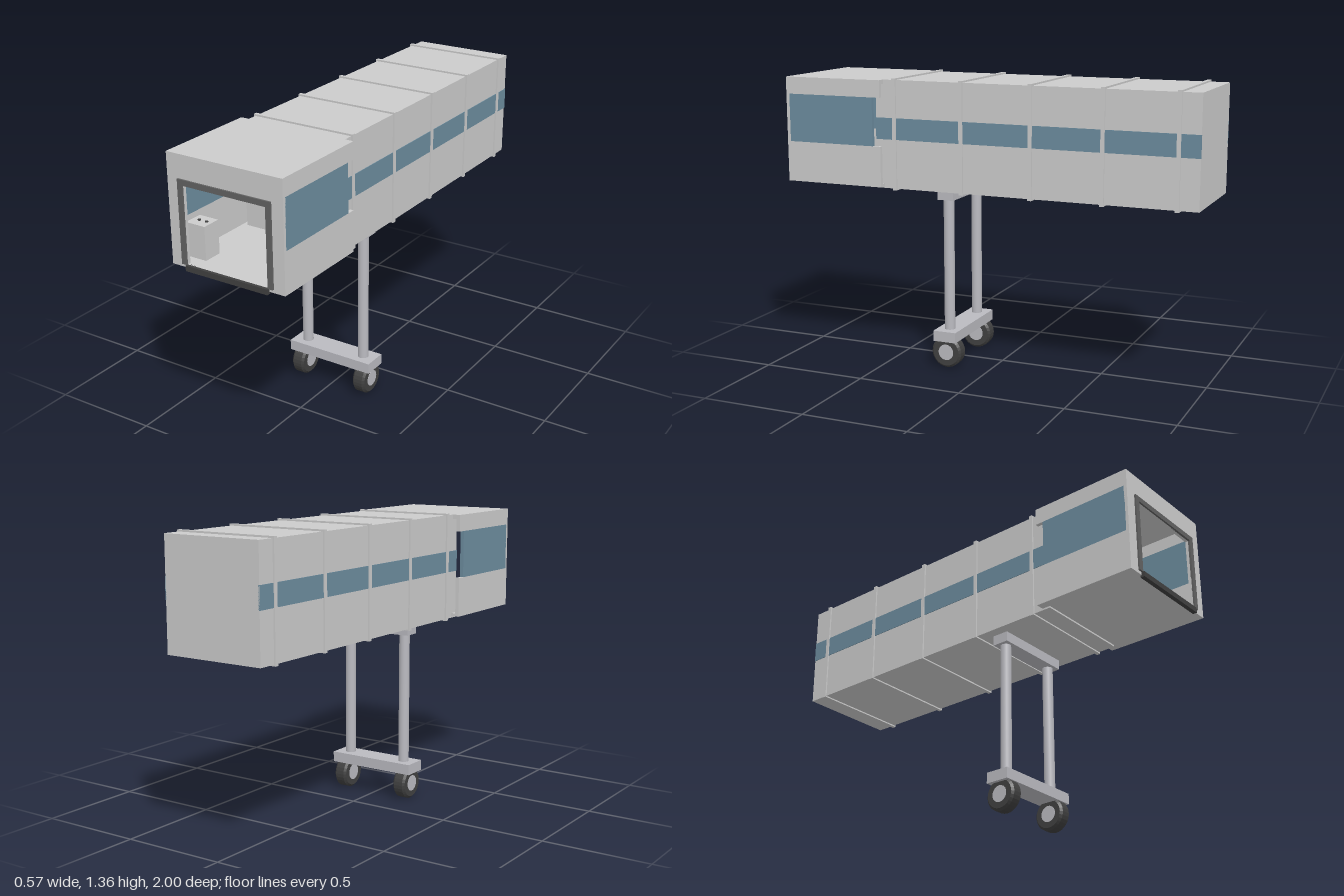
import * as THREE from 'three';

const material = (color) => new THREE.MeshStandardMaterial({ color });

export function createModel() {
  const model = new THREE.Group();
  const grey = material(0xcccccc);
  const glass = material(0x6c8c9e);
  const frameDark = material(0x626262);
  const rubber = material(0x404040);
  const steel = material(0xbabac0);

  const add = (name, geometry, mat, parent = model) => {
    const mesh = new THREE.Mesh(geometry, mat);
    mesh.name = name;
    parent.add(mesh);
    return mesh;
  };
  // Box given by its extents along each axis
  const box = (name, mat, [x0, x1], [y0, y1], [z0, z1], parent) => {
    const mesh = add(name, new THREE.BoxGeometry(x1 - x0, y1 - y0, z1 - z0), mat, parent);
    mesh.position.set((x0 + x1) / 2, (y0 + y1) / 2, (z0 + z1) / 2);
    return mesh;
  };
  // Span on the +x side, or its mirror image
  const span = (side, a, b) => (side > 0 ? [a, b] : [-b, -a]);
  const rectangle = (target, w, y0, y1) =>
    target.moveTo(-w, y0).lineTo(w, y0).lineTo(w, y1).lineTo(-w, y1).closePath();

  // Tunnel with window bands and stiffening ribs
  const tunnel = new THREE.Group();
  tunnel.name = 'tunnel';
  model.add(tunnel);
  box('tunnelBody', grey, [-0.245, 0.245], [0.852, 1.355], [-1, 0.53], tunnel);
  for (const side of [-1, 1]) {
    box('windowBand', glass, span(side, 0.24, 0.248), [1.08, 1.18], [-1, 0.53], tunnel);
  }
  for (let i = 0; i < 5; i++) {
    const z = 0.435 - i * 0.335;
    box('rib', grey, [-0.253, 0.253], [0.845, 1.363], [z - 0.009, z + 0.009], tunnel);
  }

  // Cab: hollow shell around the tunnel mouth
  const cab = new THREE.Group();
  cab.name = 'cab';
  model.add(cab);
  box('cabFloor', grey, [-0.285, 0.285], [0.86, 0.875], [0.49, 0.972], cab);
  box('cabRoof', grey, [-0.285, 0.285], [1.335, 1.355], [0.49, 0.972], cab);
  for (const side of [-1, 1]) {
    const x = span(side, 0.267, 0.285);
    box('lowerSideWall', grey, x, [0.875, 1.05], [0.49, 0.972], cab);
    box('upperSideWall', grey, x, [1.275, 1.335], [0.49, 0.972], cab);
    box('cabWindow', glass, x, [1.05, 1.275], [0.53, 0.972], cab);
  }

  // Front wall with its doorway
  const front = rectangle(new THREE.Shape(), 0.285, 0.86, 1.355);
  front.holes.push(rectangle(new THREE.Path(), 0.205, 0.875, 1.225));
  add('frontWall', new THREE.ExtrudeGeometry(front, { depth: 0.016, bevelEnabled: false }), grey, cab)
    .position.z = 0.97;

  // Door seal and bumper
  for (const side of [-1, 1]) {
    box('doorSealSide', frameDark, span(side, 0.205, 0.23), [0.875, 1.225], [0.984, 0.994], cab);
  }
  box('doorSealTop', frameDark, [-0.23, 0.23], [1.225, 1.25], [0.984, 0.994], cab);
  box('doorBumper', rubber, [-0.207, 0.207], [0.85, 0.875], [0.98, 1], cab);

  // Operator console inside the cab
  box('console', grey, [-0.26, -0.163], [0.875, 1.028], [0.83, 0.92], cab);
  for (const x of [-0.225, -0.187]) {
    const button = add('consoleButton', new THREE.CylinderGeometry(0.007, 0.007, 0.006, 12), rubber, cab);
    button.position.set(x, 1.03, 0.875);
  }

  // Support: cross beams, two columns and wheels
  const support = new THREE.Group();
  support.name = 'support';
  support.position.z = 0.205;
  model.add(support);
  box('upperBeam', steel, [-0.195, 0.195], [0.805, 0.853], [-0.04, 0.04], support);
  box('wheelBeam', steel, [-0.22, 0.22], [0.13, 0.18], [-0.057, 0.057], support);

  const tyreProfile = [[0.038, -0.032], [0.065, -0.032], [0.075, -0.022],
    [0.075, 0.022], [0.065, 0.032], [0.038, 0.032]].map(([r, y]) => new THREE.Vector2(r, y));
  const tyreMaterial = material(0x404040);
  tyreMaterial.flatShading = true;
  for (const side of [-1, 1]) {
    add('column', new THREE.CylinderGeometry(0.025, 0.025, 0.64, 24), steel, support)
      .position.set(side * 0.155, 0.49, 0);
    const wheel = new THREE.Group();
    wheel.name = 'wheel';
    wheel.position.set(side * 0.171, 0.075, 0);
    wheel.rotation.z = Math.PI / 2;
    support.add(wheel);
    add('tyre', new THREE.LatheGeometry(tyreProfile, 28), tyreMaterial, wheel);
    add('hub', new THREE.CylinderGeometry(0.038, 0.038, 0.067, 24), steel, wheel);
  }

  return model;
}
